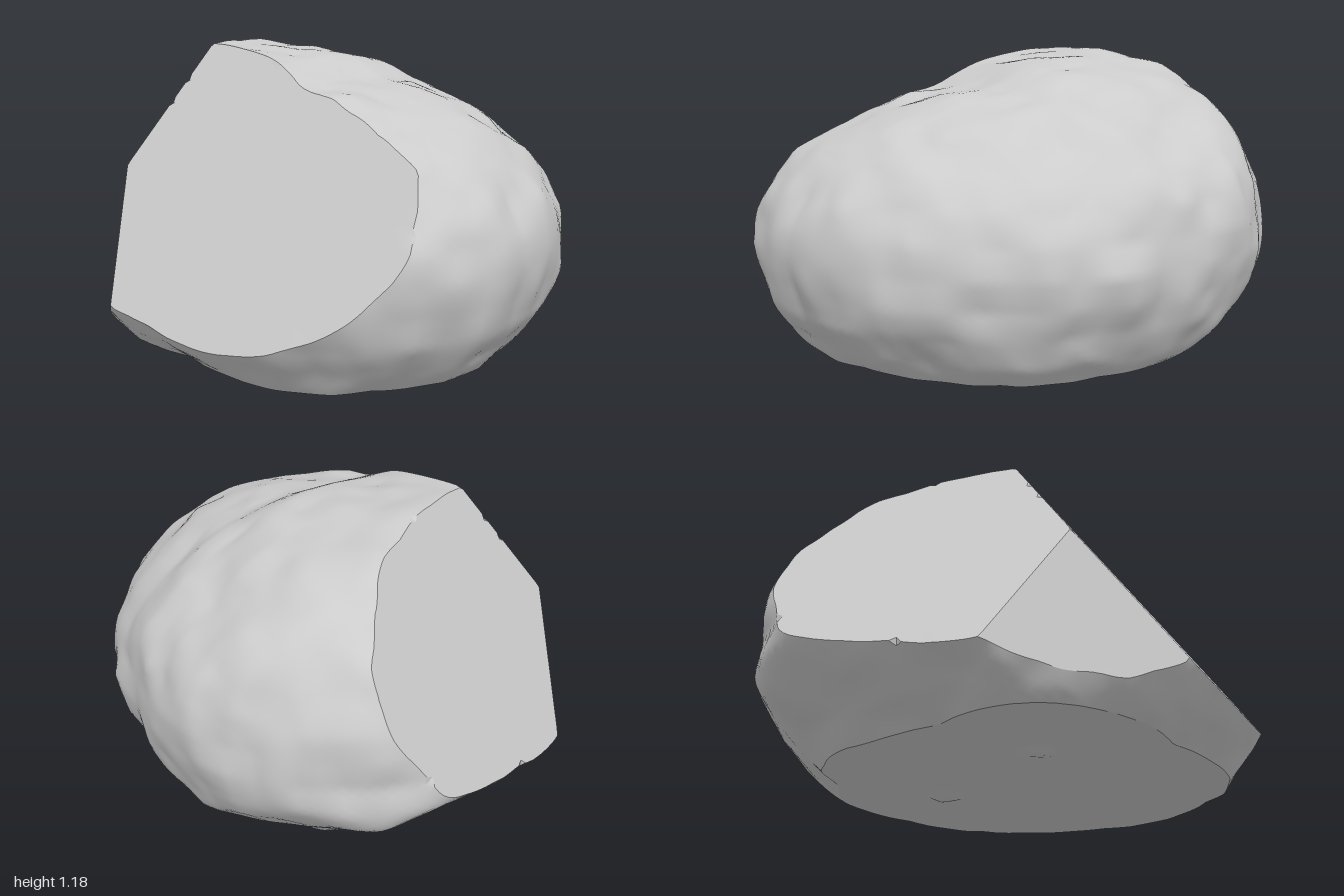
import * as THREE from 'three';
import { toCreasedNormals } from 'three/addons/utils/BufferGeometryUtils.js';

const V = (x, y, z) => new THREE.Vector3(x, y, z);
const CENTRE = V(0, 0.45, 0);

// Flat fracture faces: outward normal and distance from the origin
const CUTS = [
  { n: V(-0.817, 0.556, 0.155), d: 0.847 },  // left-hand slab face
  { n: V(-0.324, 0.449, -0.833), d: 0.941 }, // rear face
  { n: V(-0.82, 0.13, -0.55), d: 0.905 },    // steep corner between the two
];
// Softer flattenings blended into the rounded body
const SOFT = [
  { n: V(0, 1, 0), d: 1.175 },
  { n: V(0.3, 1, 0), d: 1.19 },
  { n: V(0.75, 1, 0), d: 1.4 },
  { n: V(0, 1, 0.2), d: 1.125 },
  { n: V(0, -0.75, -0.66), d: 0.43 },
  { n: V(-0.63, -0.78, 0), d: 0.445 },
  { n: V(0.5, -0.75, -0.5), d: 0.49 },
];
// Small nubs under the base
const NUBS = [[0.3, -0.07], [-0.3, -0.25]];

// Seeded lattice noise, -1..1
function hash(x, y, z) {
  const s = Math.sin(x * 127.1 + y * 311.7 + z * 74.7) * 43758.5453;
  return (s - Math.floor(s)) * 2 - 1;
}
function noise(p, f) {
  const x = p.x * f + 20, y = p.y * f + 20, z = p.z * f + 20;
  const i = Math.floor(x), j = Math.floor(y), k = Math.floor(z);
  let sum = 0;
  for (let c = 0; c < 8; c++) {
    const a = c & 1, b = (c >> 1) & 1, e = c >> 2;
    const w = (a ? x - i : 1 - x + i) * (b ? y - j : 1 - y + j) * (e ? z - k : 1 - z + k);
    sum += w * hash(i + a, j + b, k + e);
  }
  return sum;
}

// Distance along a ray from the centre to a plane
function planeHit({ n, d }, dir) {
  const s = n.dot(dir);
  return s > 1e-4 ? Math.min((d - n.dot(CENTRE)) / s, 9) : 9;
}
function smoothMin(a, b, k) {
  const h = Math.max(k - Math.abs(a - b), 0) / k;
  return Math.min(a, b) - h * h * k * 0.25;
}

// Weathered, lopsided ellipsoid
function bodyHit(dir) {
  const { x, y, z } = dir;
  const rx = x < 0 ? 0.98 : 0.92;
  const ry = y < 0 ? 0.69 : 0.85 - 0.25 * THREE.MathUtils.smoothstep(z, -0.45, 0.3);
  let skew = x < 0 ? -0.25 : 0.2;
  if (x * z < 0) skew = x < 0 ? 0.2 : 0.28;
  let r = 1 / Math.sqrt((x * x) / (rx * rx) + (y * y) / (ry * ry) + z * z + skew * x * z);
  for (const s of SOFT) r = smoothMin(r, planeHit(s, dir), 0.06);
  const p = dir.clone().multiplyScalar(r);
  return r + 0.02 * noise(p, 5) + 0.018 * noise(p, 9);
}

// Flat base with its nubs
function baseHit(dir) {
  if (dir.y > -1e-3) return 9;
  const t = -0.42 / dir.y;
  let y = 0.03;
  for (const [nx, nz] of NUBS) {
    y -= 0.03 * Math.max(0, 1 - Math.hypot(dir.x * t - nx, dir.z * t - nz) / 0.085);
  }
  return Math.min((y - CENTRE.y) / dir.y, 9);
}

const surfaces = [bodyHit, baseHit, ...CUTS.map((c) => (dir) => planeHit(c, dir))];

// Slide a direction onto the nearest crease so that fracture edges stay clean
function snapToCrease(dir, reach) {
  const order = surfaces.map((f) => ({ f, r: f(dir) })).sort((a, b) => a.r - b.r);
  const gap = (v) => order[1].f(v) - order[0].f(v);
  const g = order[1].r - order[0].r;
  if (g > 0.15) return dir;
  const u = V(0.31, 0.77, 0.55).cross(dir).normalize();
  const w = dir.clone().cross(u);
  const e = 0.004;
  const gu = (gap(dir.clone().addScaledVector(u, e).normalize()) - g) / e;
  const gw = (gap(dir.clone().addScaledVector(w, e).normalize()) - g) / e;
  const len2 = gu * gu + gw * gw;
  if (len2 < 1e-6 || g / Math.sqrt(len2) > reach) return dir;
  return dir.clone().addScaledVector(u, (-g * gu) / len2).addScaledVector(w, (-g * gw) / len2).normalize();
}

export function createModel() {
  const group = new THREE.Group();
  group.name = 'rock';

  const detail = 40;
  const geo = new THREE.IcosahedronGeometry(1, detail);
  geo.deleteAttribute('uv');
  const pos = geo.attributes.position;
  for (let i = 0; i < pos.count; i++) {
    const dir = snapToCrease(V(0, 0, 0).fromBufferAttribute(pos, i).normalize(), 0.6 / detail);
    const r = Math.min(...surfaces.map((f) => f(dir)));
    dir.multiplyScalar(r).add(CENTRE);
    pos.setXYZ(i, dir.x, dir.y, dir.z);
  }

  // Centre it and stand it on the ground
  geo.computeBoundingBox();
  const mid = geo.boundingBox.getCenter(V(0, 0, 0));
  geo.translate(-mid.x, -geo.boundingBox.min.y, -mid.z);

  const mesh = new THREE.Mesh(
    toCreasedNormals(geo, 0.5),
    new THREE.MeshStandardMaterial({ color: 0xcccccc })
  );
  mesh.name = 'boulder';
  group.add(mesh);
  return group;
}
